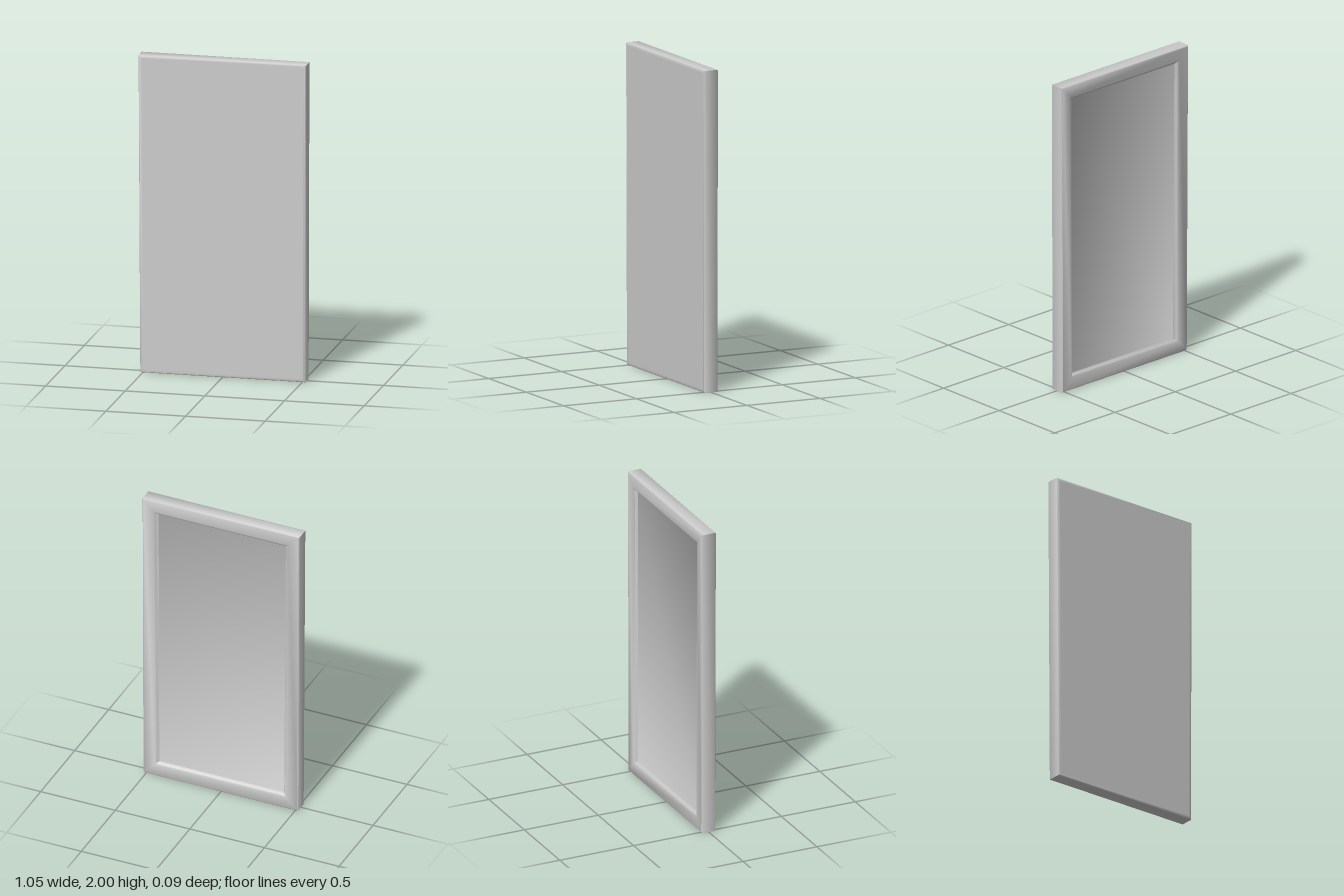
import * as THREE from 'three';
import { toCreasedNormals } from 'three/addons/utils/BufferGeometryUtils.js';

// Corners of the slightly tapered outline, inset by d, counter-clockwise from the front
function ring(d, z) {
  return [
    [-0.517 + d, d, z],
    [0.52 - d, d, z],
    [0.525 - d, 2 - d, z],
    [-0.528 + d, 2 - d, z],
  ];
}

// Skins nested rings from front to back and caps the first and last
function skinRings(rings) {
  const index = [];
  for (let r = 0; r < rings.length - 1; r++) {
    for (let i = 0; i < 4; i++) {
      const j = (i + 1) % 4;
      const a = r * 4 + i, b = r * 4 + j;
      index.push(a, a + 4, b, b, a + 4, b + 4);
    }
  }
  const e = (rings.length - 1) * 4;
  index.push(0, 1, 2, 0, 2, 3, e, e + 2, e + 1, e, e + 3, e + 2);
  const geometry = new THREE.BufferGeometry();
  geometry.setAttribute('position', new THREE.Float32BufferAttribute(rings.flat(2), 3));
  geometry.setIndex(index);
  return toCreasedNormals(geometry, THREE.MathUtils.degToRad(50));
}

export function createModel() {
  const group = new THREE.Group();
  group.name = 'doorPanel';
  const material = new THREE.MeshStandardMaterial({ color: 0xcccccc });

  // [inset, z]: flat front, bevelled sides, raised back rim, sunken back field
  const profile = [
    [0.02, 0.046], [0.006, 0.046], [0, 0.04],
    [0, -0.042], [0.006, -0.048], [0.076, -0.048],
    [0.087, -0.042], [0.1, -0.027],
  ];
  const panel = new THREE.Mesh(skinRings(profile.map(([d, z]) => ring(d, z))), material);
  panel.name = 'framedPanel';
  group.add(panel);
  return group;
}
